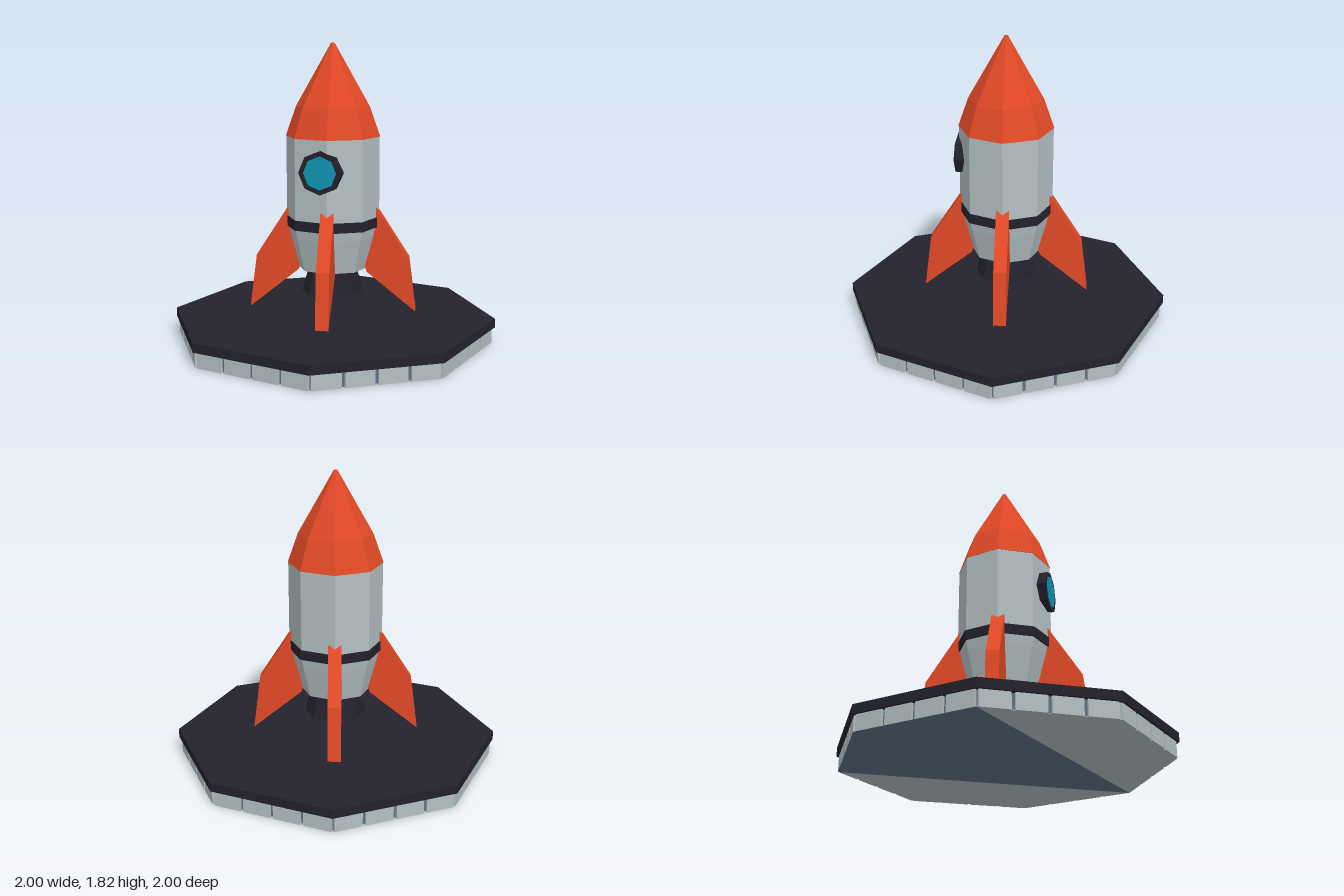
import * as THREE from 'three';

const mat = (name, color) => {
  const m = new THREE.MeshStandardMaterial({ color });
  m.name = name;
  return m;
};

export function createModel() {
  const model = new THREE.Group();
  model.name = 'rocketOnPad';
  const grey = mat('lightGrey', 0xb4c0c3);
  const orange = mat('orange', 0xe24926);
  const dark = mat('darkNavy', 0x23222d);
  const slate = mat('slate', 0x5f7184);
  const blue = mat('glassBlue', 0x1094b5);

  const add = (name, geometry, material, parent = model) => {
    const g = geometry.index ? geometry.toNonIndexed() : geometry;
    g.computeVertexNormals(); // faceted look
    const mesh = new THREE.Mesh(g, material);
    mesh.name = name;
    parent.add(mesh);
    return mesh;
  };
  // Eight-sided section between two heights
  const oct = (rBottom, rTop, y0, y1) =>
    new THREE.CylinderGeometry(rTop, rBottom, y1 - y0, 8).translate(0, (y0 + y1) / 2, 0);

  // Launch pad: slab, recessed core and underside
  add('padTop', oct(1, 1, 0.095, 0.15), dark);
  add('padCore', oct(0.967, 0.967, 0.004, 0.096), slate);
  add('padUnderside', oct(0.975, 0.975, 0.001, 0.004), grey);
  const R = 0.985, k = R * Math.SQRT1_2;
  const kite = new THREE.Shape([[R, 0], [-k, k], [-R, 0], [-k, -k]].map(p => new THREE.Vector2(...p)));
  add('padUndersidePanel', new THREE.ShapeGeometry(kite).rotateX(Math.PI / 2), slate);

  // Four raised blocks along each side of the pad
  const apothem = R * Math.cos(Math.PI / 8);
  const pitch = (2 * R * Math.sin(Math.PI / 8)) / 4;
  for (let side = 0; side < 8; side++) {
    const wall = new THREE.Group();
    wall.name = 'padWall';
    wall.rotation.y = (side + 0.5) * Math.PI / 4;
    for (let i = 0; i < 4; i++) {
      const block = new THREE.BoxGeometry(pitch - 0.02, 0.095, 0.05);
      add('padBlock', block.translate((i - 1.5) * pitch, 0.0485, apothem - 0.025), grey, wall);
    }
    model.add(wall);
  }

  // Rocket body, from nozzle to nose
  add('nozzle', oct(0.19, 0.145, 0.295, 0.46), dark);
  add('lowerHull', oct(0.215, 0.268, 0.45, 0.65), grey);
  add('hullShoulder', oct(0.268, 0.285, 0.65, 0.73), grey);
  add('hull', oct(0.285, 0.285, 0.73, 1.26), grey);
  add('hullBand', oct(0.291, 0.291, 0.71, 0.77), dark);
  add('noseLower', oct(0.288, 0.225, 1.26, 1.44), orange);
  add('noseTip', oct(0.225, 0.01, 1.44, 1.82), orange);

  // Porthole: frame sunk into the hull with a thin pane
  const porthole = new THREE.Group();
  porthole.name = 'porthole';
  porthole.rotation.y = 37 * Math.PI / 180;
  const disc = (r, z0, z1) =>
    new THREE.CylinderGeometry(r, r, z1 - z0, 8).rotateX(Math.PI / 2).translate(0, 0, (z0 + z1) / 2);
  add('portholeFrame', disc(0.13, 0.2, 0.295), dark, porthole);
  add('portholeGlass', disc(0.1, 0.292, 0.298), blue, porthole);
  porthole.position.y = 1.07;
  model.add(porthole);

  // Four swept fins on the diagonals, outlined as radius and height
  const outline = [[0.513, 0.19], [0.47, 0.52], [0.225, 0.9], [0.19, 0.85], [0.19, 0.5], [0.214, 0.43]];
  const fin = new THREE.Shape(outline.map(p => new THREE.Vector2(...p)));
  for (let i = 0; i < 4; i++) {
    const g = new THREE.ExtrudeGeometry(fin, { depth: 0.078, bevelEnabled: false }).translate(0, 0, -0.039);
    add('fin', g, orange).rotation.y = (i + 0.5) * Math.PI / 2;
  }
  return model;
}
